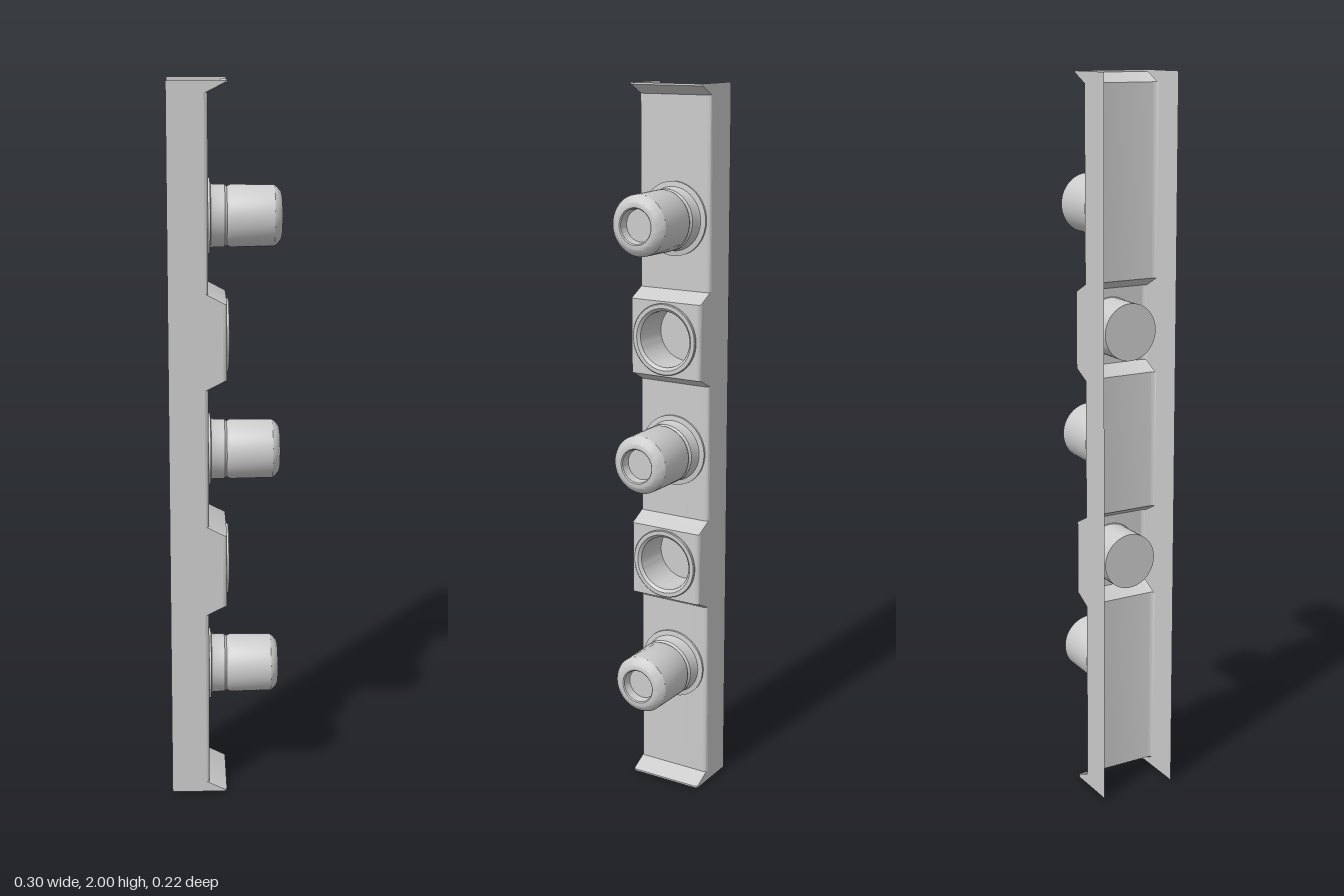
import * as THREE from 'three';
import { toCreasedNormals } from 'three/addons/utils/BufferGeometryUtils.js';

const BACK = -0.152, HALF = 0.11, EDGE = 0.01;
const LOW = -0.045, HIGH = 0.005; // front face of the channel: recessed and raised levels
const SOCKETS = [0.677, 1.323], KNOBS = [0.355, 1.0, 1.645];

const material = new THREE.MeshStandardMaterial({ color: 0xcccccc, side: THREE.DoubleSide });

function addMesh(parent, name, geometry) {
  const mesh = new THREE.Mesh(geometry, material);
  mesh.name = name;
  parent.add(mesh);
  return mesh;
}

// Front outline of the channel as [x, y], from bottom to top
function frontOutline() {
  const pts = [[HIGH, 0], [HIGH, 0.005], [LOW, 0.03]];
  for (const y of SOCKETS) {
    pts.push([LOW, y - 0.13], [HIGH, y - 0.104], [HIGH, y + 0.104], [LOW, y + 0.13]);
  }
  pts.push([LOW, 1.97], [HIGH, 1.995], [HIGH, 2]);
  return pts;
}

// Front sheet with rounded long edges; raised seats are left open for drilled plates
function frontSheet(outline) {
  const section = [];
  for (const s of [1, -1]) {
    for (let i = 0; i <= 4; i++) {
      const a = (s > 0 ? i : 4 - i) / 4 * Math.PI / 2;
      section.push([EDGE * (Math.sin(a) - 1), s * (HALF - EDGE + EDGE * Math.cos(a))]);
    }
  }
  const pos = [];
  for (let j = 0; j < outline.length - 1; j++) {
    const [x0, y0] = outline[j], [x1, y1] = outline[j + 1];
    const seat = x0 === HIGH && x1 === HIGH && y1 - y0 > 0.1;
    for (let i = 0; i < section.length - 1; i++) {
      if (seat && i === 4) continue;
      const [d0, z0] = section[i], [d1, z1] = section[i + 1];
      const a = [x0 + d0, y0, z0], b = [x0 + d1, y0, z1];
      const c = [x1 + d1, y1, z1], d = [x1 + d0, y1, z0];
      pos.push(...a, ...b, ...c, ...a, ...c, ...d);
    }
  }
  const g = new THREE.BufferGeometry();
  g.setAttribute('position', new THREE.Float32BufferAttribute(pos, 3));
  return toCreasedNormals(g, 0.45);
}

// Turned part whose axis points along +x; profile is [radius, x]
function turned(profile) {
  const g = new THREE.LatheGeometry(profile.map(([r, x]) => new THREE.Vector2(r, x)), 48);
  g.rotateZ(-Math.PI / 2);
  return toCreasedNormals(g, 0.5);
}

export function createModel() {
  const model = new THREE.Group();
  model.name = 'channelWithKnobsAndSockets';
  const outline = frontOutline();

  // Open-backed channel
  const channel = new THREE.Group();
  channel.name = 'channel';
  model.add(channel);
  addMesh(channel, 'frontSheet', frontSheet(outline));
  const wall = new THREE.Shape([
    new THREE.Vector2(BACK, 0),
    ...outline.map(([x, y]) => new THREE.Vector2(x - EDGE, y)),
    new THREE.Vector2(BACK, 2),
  ]);
  for (const s of [1, -1]) {
    const g = new THREE.ShapeGeometry(wall);
    if (s < 0) g.scale(1, 1, -1);
    // mirrored wall: reverse the triangles and normals to face outward
    if (s < 0) {
      g.index.array.reverse();
      g.computeVertexNormals();
    }
    addMesh(channel, s > 0 ? 'frontWall' : 'backWall', g).position.z = s * HALF;
  }

  // Raised seats with recessed round sockets
  const seat = new THREE.Shape([
    new THREE.Vector2(-0.1, -0.104), new THREE.Vector2(0.1, -0.104),
    new THREE.Vector2(0.1, 0.104), new THREE.Vector2(-0.1, 0.104),
  ]);
  seat.holes.push(new THREE.Path().absarc(0, 0, 0.08, 0, Math.PI * 2, true));
  const seatGeometry = new THREE.ShapeGeometry(seat, 24).rotateY(Math.PI / 2);
  const socketGeometry = turned([
    [0, -0.102], [0.078, -0.102], [0.078, HIGH],
  ]);
  const rimGeometry = turned([
    [0.099, HIGH], [0.099, 0.01], [0.097, 0.012], [0.086, 0.012], [0.078, 0.004],
  ]);
  for (const y of SOCKETS) {
    const group = new THREE.Group();
    group.name = 'socket';
    group.position.y = y;
    model.add(group);
    addMesh(group, 'seatPlate', seatGeometry).position.x = HIGH;
    addMesh(group, 'socketCup', socketGeometry);
    addMesh(group, 'socketRim', rimGeometry);
  }

  // Knobs with a collar, a groove and a recessed end
  const collarGeometry = turned([
    [0.1, LOW], [0.1, -0.039], [0.086, -0.037], [0.083, -0.03],
    [0.083, 0], [0.08, 0.003], [0.078, 0.006],
  ]);
  const knobGeometry = turned([
    [0.078, 0.006], [0.08, 0.01], [0.083, 0.016], [0.081, 0.132], [0.077, 0.139],
    [0.064, 0.15], [0.059, 0.152], [0.049, 0.152], [0.046, 0.149], [0.043, 0.125], [0, 0.125],
  ]);
  for (const y of KNOBS) {
    const group = new THREE.Group();
    group.name = 'knob';
    group.position.y = y;
    model.add(group);
    addMesh(group, 'knobCollar', collarGeometry);
    addMesh(group, 'knobBody', knobGeometry);
  }
  return model;
}
